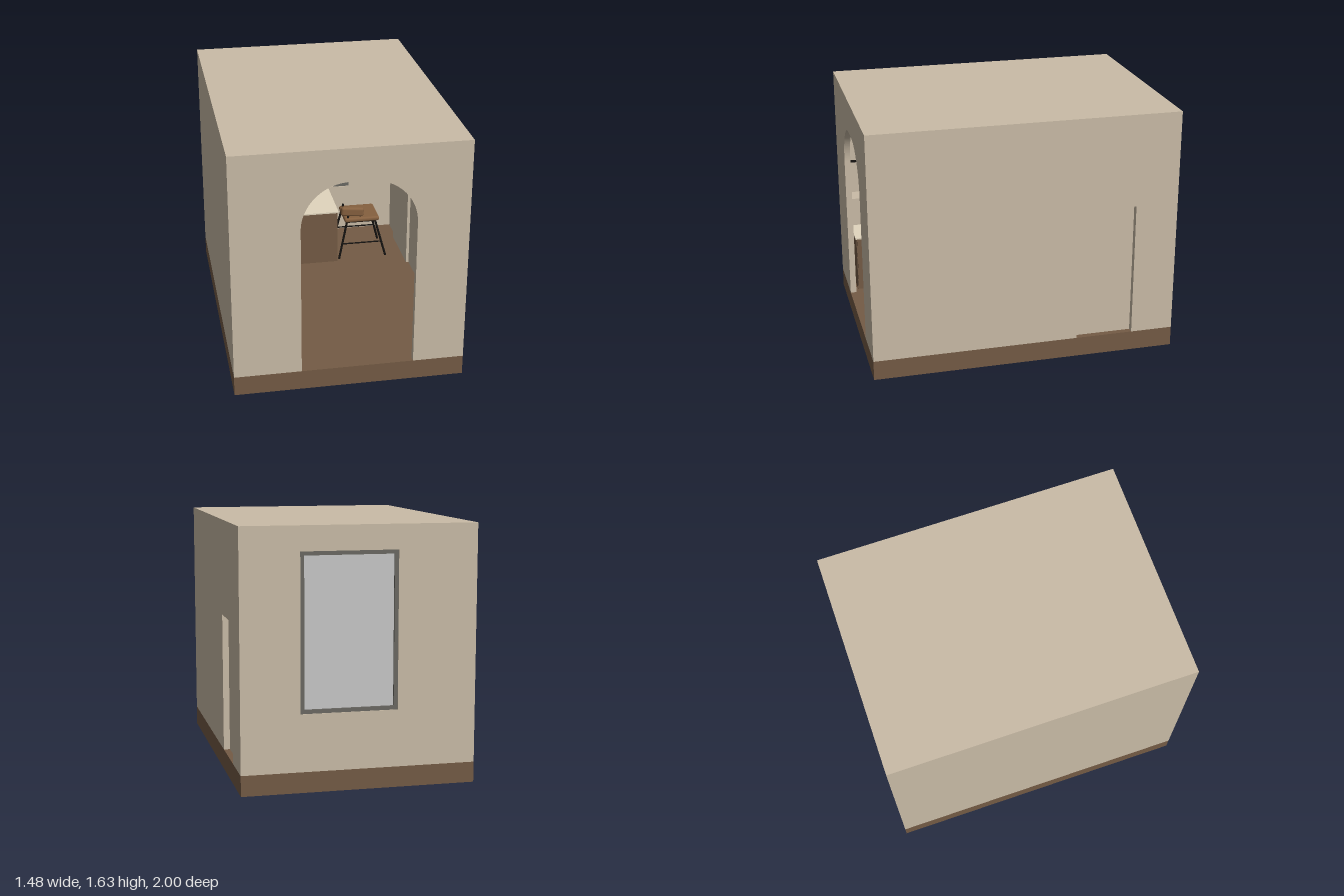
import * as THREE from 'three';
import { RoundedBoxGeometry } from 'three/addons/geometries/RoundedBoxGeometry.js';

const mat = (name, color) => {
  const m = new THREE.MeshStandardMaterial({ color });
  m.name = name;
  return m;
};

export function createModel() {
  const root = new THREE.Group();
  root.name = 'kitchenRoom';
  const wall = mat('wall beige', 0xcabca7);
  const wood = mat('walnut', 0x745b45);
  const cream = mat('cream', 0xe2d6be);
  const glass = mat('pale glass', 0xc8c8c8);
  const frame = mat('frame grey', 0x6b6963);
  const black = mat('black metal', 0x151311);
  const leather = mat('tan leather', 0x85603f);
  cream.side = THREE.DoubleSide;

  const add = (name, geo, material, parent = root) => {
    const m = new THREE.Mesh(geo, material);
    m.name = name;
    parent.add(m);
    return m;
  };
  // Box given by its minimum and maximum corners
  const box = (name, material, x0, x1, y0, y1, z0, z1, parent) => {
    const m = add(name, new THREE.BoxGeometry(x1 - x0, y1 - y0, z1 - z0), material, parent);
    m.position.set((x0 + x1) / 2, (y0 + y1) / 2, (z0 + z1) / 2);
    return m;
  };
  // Cylinder between two points
  const rod = (name, material, a, b, r, parent) => {
    const p = new THREE.Vector3(...a), q = new THREE.Vector3(...b);
    const m = add(name, new THREE.CylinderGeometry(r, r, p.distanceTo(q), 12), material, parent);
    m.position.copy(p).add(q).multiplyScalar(0.5);
    m.quaternion.setFromUnitVectors(new THREE.Vector3(0, 1, 0), q.sub(p).normalize());
    return m;
  };
  const rect = (Type, x0, x1, y0, y1) => new Type([[x0, y0], [x1, y0], [x1, y1], [x0, y1]]
    .map(p => new THREE.Vector2(...p)));
  const extrude = (shape, depth) =>
    new THREE.ExtrudeGeometry(shape, { depth, bevelEnabled: false, curveSegments: 20 });

  // Base, ceiling and plain left-hand wall
  const X = 0.74, T = 0.04, F = 0.13, H = 1.63, XI = X - T, ZI = 1 - T;
  box('floorBase', wood, -X, X, 0, F, -1, 1);
  box('ceiling', wall, -XI, XI, H - T, H, -ZI, ZI);
  box('sideWall', wall, -X, -XI, F, H, -ZI, ZI);

  // Front wall with the rounded archway
  const arch = new THREE.Shape();
  const R = 0.3, spring = 1.115;
  arch.moveTo(-X, F).lineTo(-0.31, F).lineTo(-0.31, spring);
  arch.absarc(-0.31 + R, spring, R, Math.PI, Math.PI / 2, true);
  arch.absarc(0.41 - R, spring, R, Math.PI / 2, 0, true);
  arch.lineTo(0.41, F).lineTo(X, F).lineTo(X, H).lineTo(-X, H);
  add('archWall', extrude(arch, T), wall).position.z = ZI;

  // Back wall with the window
  const back = rect(THREE.Shape, -X, X, F, H);
  back.holes.push(rect(THREE.Path, -0.24, 0.37, 0.49, 1.475));
  add('windowWall', extrude(back, T), wall).position.z = -1;
  const ring = rect(THREE.Shape, -0.24, 0.37, 0.49, 1.475);
  ring.holes.push(rect(THREE.Path, -0.215, 0.345, 0.515, 1.45));
  add('windowFrame', extrude(ring, 0.035), frame).position.z = -0.995;
  box('windowPane', glass, -0.215, 0.345, 0.515, 1.45, -0.982, -0.974);
  const casing = rect(THREE.Shape, -0.26, 0.39, 0.47, 1.495);
  casing.holes.push(rect(THREE.Path, -0.24, 0.37, 0.49, 1.475));
  add('windowCasing', extrude(casing, 0.008), wall).position.z = -ZI;

  // Door wall: the local x axis runs towards -z
  const door = new THREE.Shape([[-ZI, F], [0.34, F], [0.34, 1.02], [0.72, 1.02], [0.72, F],
    [ZI, F], [ZI, H], [-ZI, H]].map(p => new THREE.Vector2(...p)));
  const doorWall = add('doorWall', extrude(door, T), wall);
  doorWall.rotation.y = Math.PI / 2;
  doorWall.position.x = XI;
  box('doorPanel', wall, XI - 0.02, XI, F, 1.04, -0.74, -0.32);

  // Base cabinets along the side, with drawer fronts
  const run = new THREE.Group();
  run.name = 'sideCabinets';
  root.add(run);
  box('cabinetBody', wood, -XI, -0.34, 0.16, 0.53, 0, 0.94, run);
  box('toeKick', wood, -XI, -0.36, F, 0.16, 0, 0.94, run);
  box('worktop', cream, -XI, -0.31, 0.53, 0.54, 0, 0.95, run);
  for (let i = 0; i < 4; i++) {
    const z = 0.94 - i * 0.235;
    const cuts = i % 2 ? [0.16, 0.35, 0.53] : [0.16, 0.53];
    for (let j = 0; j + 1 < cuts.length; j++)
      box('cabinetFront', wood, -0.34, -0.33, cuts[j] + 0.004, cuts[j + 1] - 0.004,
        z - 0.231, z - 0.004, run);
  }
  // Backsplash ledge, wall cabinets and socket
  box('backsplashLedge', wall, -XI, -0.56, 0.54, 0.74, -ZI, ZI);
  box('wallCabinets', wall, -XI, -0.55, 1.02, 1.45, -0.9, 0.94);
  box('wallCabinetRail', black, -0.55, -0.542, 1.02, 1.035, -0.9, 0.94);
  box('socket', glass, -0.56, -0.553, 0.62, 0.66, 0.5, 0.57);

  // Range with grates
  const range = new THREE.Group();
  range.name = 'range';
  root.add(range);
  box('oven', black, -0.56, -0.32, F, 0.54, -0.4, 0, range);
  for (let i = 0; i < 9; i++)
    box('grateBar', black, -0.55, -0.33, 0.55, 0.56, -0.38 + i * 0.043, -0.372 + i * 0.043, range);
  for (const x of [-0.54, -0.45, -0.35])
    box('grateRail', black, x, x + 0.01, 0.54, 0.55, -0.38, -0.02, range);
  rod('ovenHandle', frame, [-0.3, 0.47, -0.37], [-0.3, 0.47, -0.03], 0.006, range);

  // Sink counter under the window
  const sink = new THREE.Group();
  sink.name = 'sinkCounter';
  root.add(sink);
  box('counterBody', wood, -XI, 0.185, 0.155, 0.53, -ZI, -0.42, sink);
  box('counterPlinth', wood, -XI, 0.185, F, 0.153, -ZI, -0.425, sink);
  box('counterTop', cream, -XI, 0.19, 0.53, 0.54, -ZI, -0.41, sink);
  rod('faucetStem', wood, [-0.07, 0.54, -0.88], [-0.07, 0.75, -0.88], 0.006, sink);
  rod('faucetBar', wood, [-0.105, 0.57, -0.88], [-0.035, 0.57, -0.88], 0.008, sink);
  rod('faucetSpout', wood, [-0.07, 0.745, -0.88], [-0.07, 0.745, -0.76], 0.006, sink);
  for (const x of [-0.1, -0.04])
    rod('faucetHandle', wood, [x, 0.54, -0.88], [x, 0.59, -0.88], 0.004, sink);
  rod('soapBottle', cream, [0.065, 0.54, -0.86], [0.065, 0.605, -0.86], 0.013, sink);
  rod('soapPump', black, [0.065, 0.605, -0.86], [0.065, 0.63, -0.86], 0.003, sink);
  rod('soapNozzle', black, [0.065, 0.628, -0.86], [0.08, 0.628, -0.86], 0.003, sink);

  // Sagging fabric shade: plane pulled down towards the middle of its lower edge
  const shade = new THREE.PlaneGeometry(0.65, 0.22, 24, 8);
  const p = shade.attributes.position;
  for (let i = 0; i < p.count; i++) {
    const u = p.getX(i) / 0.325, v = 0.5 - p.getY(i) / 0.22;
    p.setY(i, 1.5 - v * (0.22 + 0.05 * (1 - u * u)));
    p.setZ(i, 0.015 * Math.abs(Math.sin(v * Math.PI * 3)));
  }
  shade.computeVertexNormals();
  add('romanShade', shade, cream).position.set(0.065, 0, -0.94);

  // Slim rails across the window
  for (const [y0, n] of [[0.87, 8], [1.215, 4]])
    for (let i = 0; i < n; i++)
      box('windowRail', wood, -0.55, XI, y0 + i * 0.015, y0 + i * 0.015 + 0.004, -0.92, -0.912);

  // Stool
  const stool = new THREE.Group();
  stool.name = 'stool';
  root.add(stool);
  const seat = add('seat', new RoundedBoxGeometry(0.26, 0.035, 0.24, 3, 0.015), leather, stool);
  seat.position.set(0.38, 0.425, -0.6);
  const rest = add('backrest', new RoundedBoxGeometry(0.17, 0.07, 0.04, 3, 0.018), leather, stool);
  rest.position.set(0.305, 0.5, -0.48);
  rest.rotation.z = -0.1;
  for (const z of [-1, 1]) {
    const zt = -0.6 + z * 0.1, zb = -0.6 + z * 0.14;
    rod('stoolLeg', black, [0.28, 0.46, zt], [0.205, F, zb], 0.008, stool);
    rod('stoolLeg', black, [0.48, 0.41, zt], [0.555, F, zb], 0.008, stool);
    rod('footRail', black, [0.235, 0.25, zb], [0.525, 0.25, zb], 0.005, stool);
    rod('seatRail', black, [0.27, 0.405, zt], [0.48, 0.405, zt], 0.005, stool);
  }
  return root;
}
